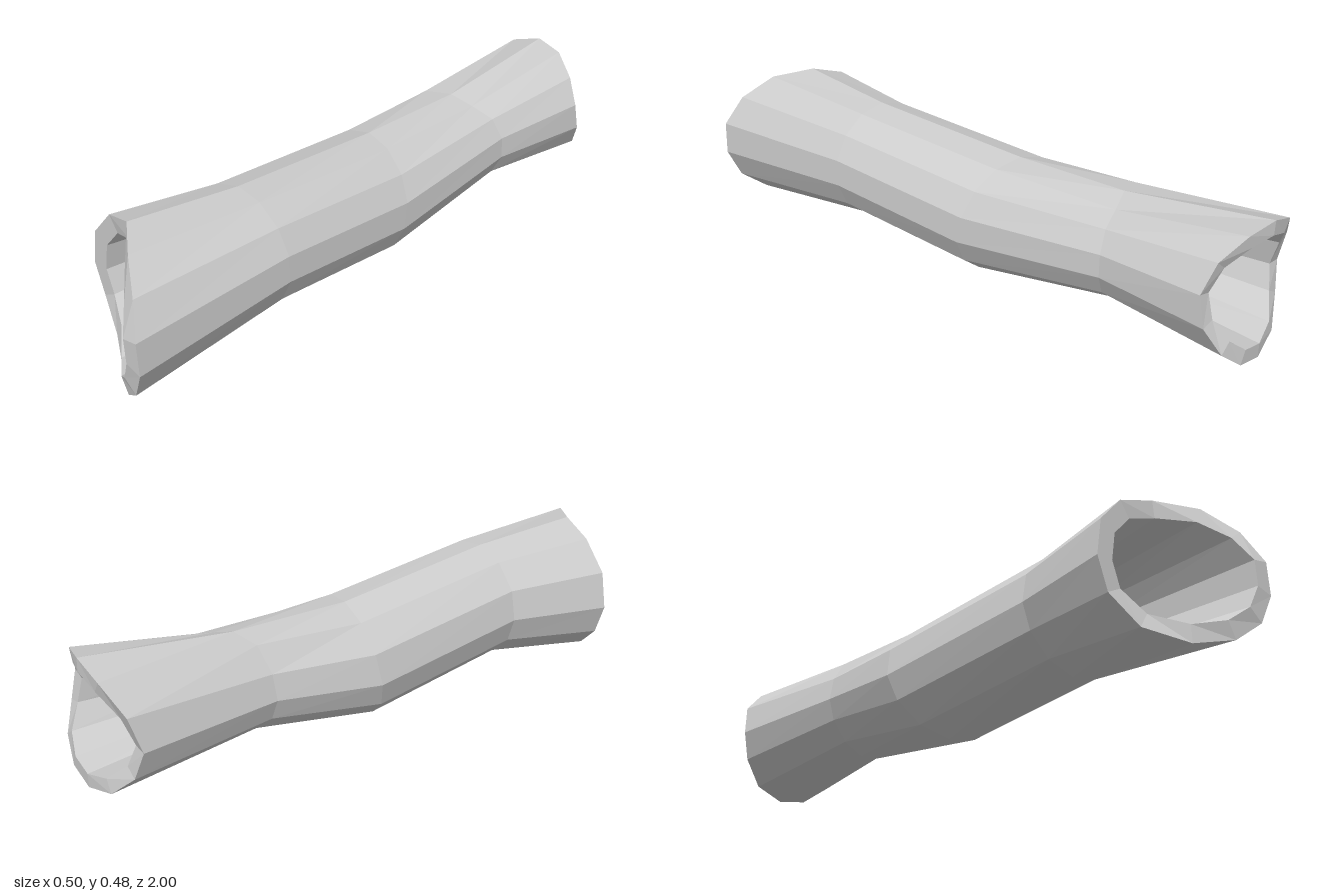
import * as THREE from 'three';

// directions (degrees) of the 13 hand-hewn edges, starting at the bottom
const ANGLES = [-90, -63, -37, -11, 15, 41, 68, 95, 124, 155, 185, 211, 240];
// z of the slanted front rim and the saddle-shaped back rim, per edge
const FRONT_Z = [0.9, 0.96, 0.99, 1, 1, 0.96, 0.9, 0.82, 0.8, 0.8, 0.8, 0.8, 0.83];
const BACK_Z = [-1, -1, -0.98, -0.94, -0.92, -0.94, -0.98, -1, -0.99, -0.95, -0.92, -0.94, -0.98];

// cross-sections front to back: centre, radii, bore ratio and z of each edge
const RINGS = [
  { x: 0, y: 0.238, rx: 0.252, ry: 0.238, bore: 0.76, z: (i) => FRONT_Z[i] },
  { x: 0.025, y: 0.253, rx: 0.207, ry: 0.193, bore: 0.71, z: () => 0.45 },
  { x: -0.005, y: 0.2, rx: 0.216, ry: 0.195, bore: 0.74, z: (i, c, s) => -0.09 + 0.03 * c - 0.03 * s },
  // waist, with a shallow dent on the upper left
  { x: -0.003, y: 0.238, rx: 0.182, ry: 0.16, bore: 0.71, z: (i, c) => -0.52 - 0.05 * c, dent: { 6: 0.9, 8: 1.1 } },
  { x: -0.003, y: 0.242, rx: 0.227, ry: 0.212, bore: 0.79, z: (i) => BACK_Z[i] },
];

function ringPoints(ring, scale) {
  return ANGLES.map((deg, i) => {
    const a = THREE.MathUtils.degToRad(deg);
    const c = Math.cos(a), s = Math.sin(a);
    const k = scale * (ring.dent?.[i] ?? 1);
    return [ring.x + ring.rx * c * k, ring.y + ring.ry * s * k, ring.z(i, c, s)];
  });
}

// joins a list of cross-sections with quads
function skin(sections) {
  const n = ANGLES.length;
  const index = [];
  for (let r = 0; r < sections.length - 1; r++) {
    for (let j = 0; j < n; j++) {
      const k = (j + 1) % n;
      const a = r * n, b = a + n;
      index.push(a + j, b + j, b + k, a + j, b + k, a + k);
    }
  }
  const geometry = new THREE.BufferGeometry();
  geometry.setAttribute('position', new THREE.Float32BufferAttribute(sections.flat(2), 3));
  geometry.setIndex(index);
  geometry.computeVertexNormals();
  return geometry;
}

export function createModel() {
  const group = new THREE.Group();
  group.name = 'hollowLog';
  const material = new THREE.MeshStandardMaterial({ color: 0xcccccc, flatShading: true });

  const outer = RINGS.map((r) => ringPoints(r, 1));
  const inner = RINGS.map((r) => ringPoints(r, r.bore)).reverse();
  const last = RINGS.length - 1;

  const parts = {
    bark: outer,
    backRim: [outer[last], inner[0]],
    bore: inner,
    frontRim: [inner[last], outer[0]],
  };
  for (const [name, sections] of Object.entries(parts)) {
    const mesh = new THREE.Mesh(skin(sections), material);
    mesh.name = name;
    group.add(mesh);
  }
  return group;
}
